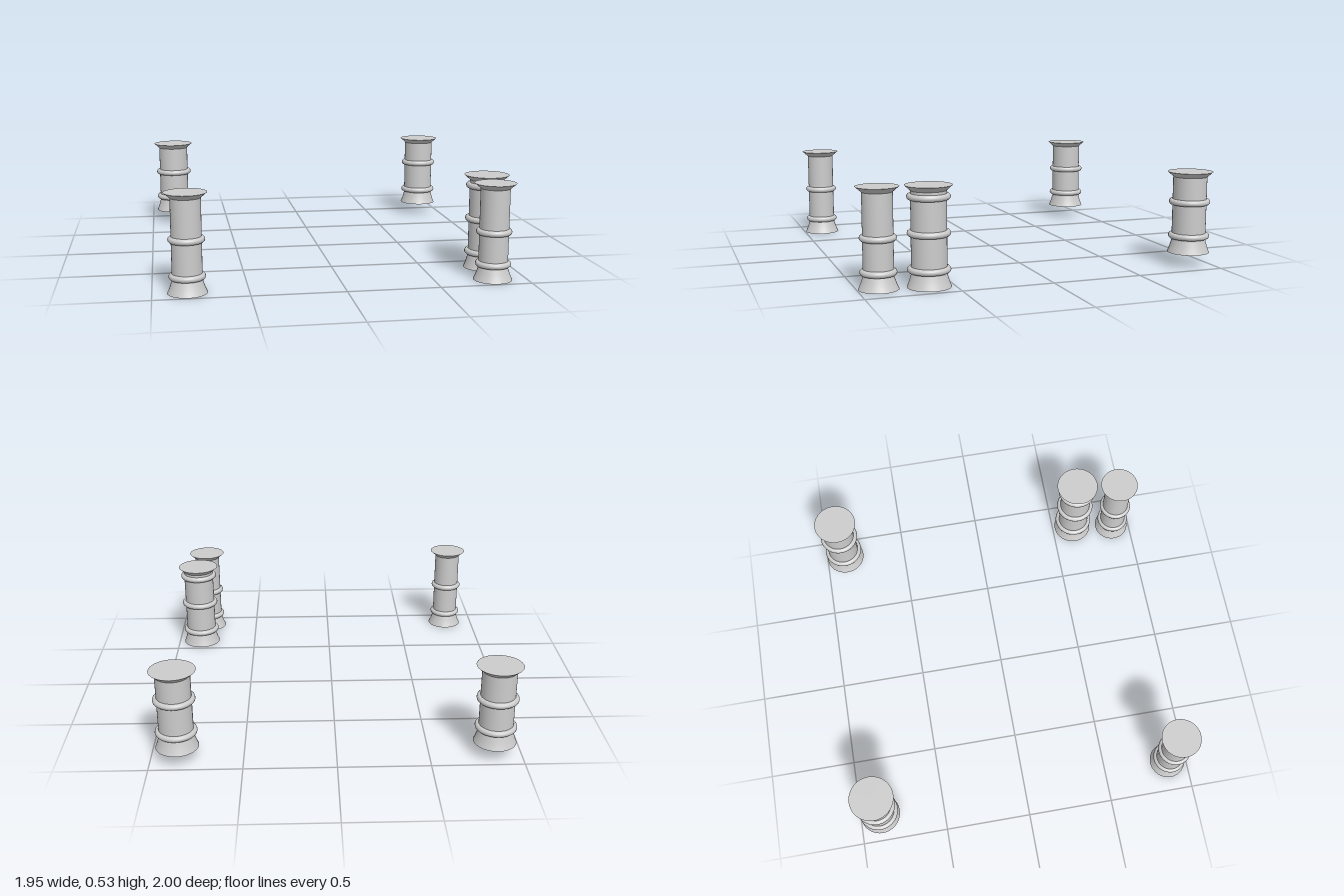
import * as THREE from 'three';

const TOP = 0.528;
const SEGMENTS = 48;

// Each pillar: position, foot height, radii and the heights of its rings
const BACK = { z: -0.876, foot: 0.075, body: 0.093, ring: 0.113, base: 0.116, rim: 0.124 };
const FRONT = { z: 0.888, foot: 0, body: 0.079, ring: 0.096, base: 0.105, rim: 0.112 };
const PILLARS = [
  { ...BACK, name: 'backLeftPillar', x: 0.853, rings: [0.169, 0.36] },
  { ...BACK, name: 'backRightPillar', x: -0.853, rings: [0.169, 0.338] },
  { ...BACK, name: 'sidePillar', x: 0.853, z: 0.631, foot: 0, rings: [0.092, 0.281, 0.469] },
  { ...FRONT, name: 'frontLeftPillar', x: 0.817, rings: [0.089, 0.266] },
  { ...FRONT, name: 'frontRightPillar', x: -0.817, rings: [0.089, 0.284] },
];

function createPillar(p, material) {
  const pillar = new THREE.Group();
  pillar.name = p.name;
  const add = (name, geometry, y = 0, tilt = 0) => {
    const mesh = new THREE.Mesh(geometry, material);
    mesh.name = name;
    mesh.position.y = y;
    mesh.rotation.x = tilt;
    pillar.add(mesh);
  };
  const lathe = (points) =>
    new THREE.LatheGeometry(points.map(([r, y]) => new THREE.Vector2(r, y)), SEGMENTS);

  // Flared foot, straight shaft and thin spreading capital
  const shaftStart = p.foot + 0.07;
  const shaftEnd = TOP - 0.028;
  const flare = p.base - p.body;
  add('foot', lathe([
    [p.base, p.foot],
    [p.body + flare * 0.62, p.foot + 0.022],
    [p.body + flare * 0.28, p.foot + 0.046],
    [p.body, shaftStart],
  ]));
  add('shaft', lathe([[p.body, shaftStart], [p.body, shaftEnd]]));
  add('capital', lathe([[p.body, shaftEnd], [p.rim, TOP]]));

  // Closing discs
  add('topDisc', new THREE.CircleGeometry(p.rim, SEGMENTS), TOP, -Math.PI / 2);
  add('bottomDisc', new THREE.CircleGeometry(p.base, SEGMENTS), p.foot, Math.PI / 2);

  // Rounded rings around the shaft
  const tube = 0.017;
  for (const y of p.rings) {
    add('ring', new THREE.TorusGeometry(p.ring - tube, tube, 12, SEGMENTS), y, Math.PI / 2);
  }
  pillar.position.set(p.x, 0, p.z);
  return pillar;
}

export function createModel() {
  const model = new THREE.Group();
  model.name = 'pillars';
  const stone = new THREE.MeshStandardMaterial({ color: 0xcccccc });
  stone.name = 'light grey stone';
  for (const p of PILLARS) model.add(createPillar(p, stone));
  return model;
}
